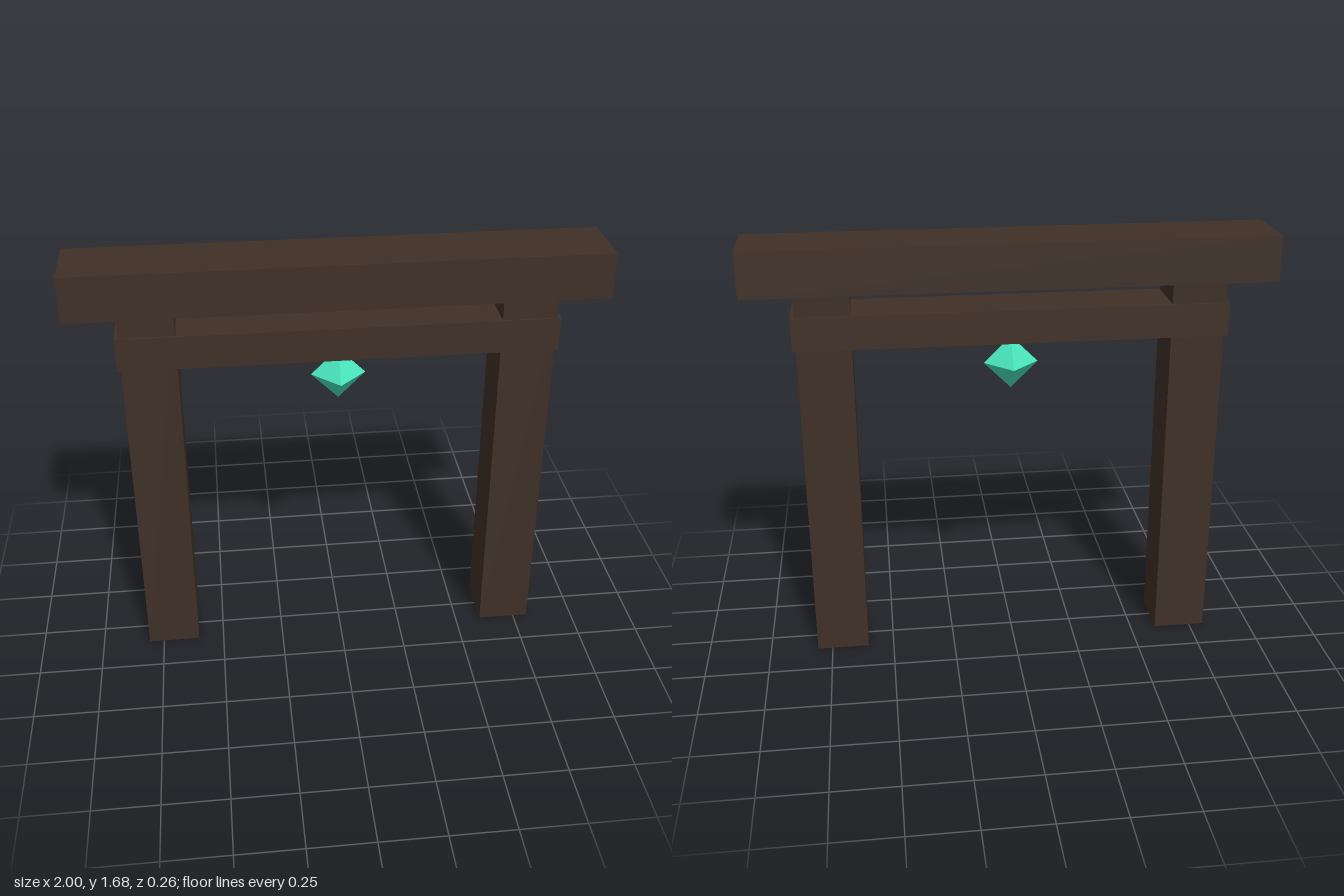
import * as THREE from 'three';

export function createModel() {
  const gate = new THREE.Group();
  gate.name = 'gate';
  const wood = new THREE.MeshStandardMaterial({ color: 0x3f3027, flatShading: true });
  const crystal = new THREE.MeshStandardMaterial({ color: 0x48e5bd, flatShading: true });

  const add = (name, geometry, material, x, y) => {
    const mesh = new THREE.Mesh(geometry, material);
    mesh.name = name;
    mesh.position.set(x, y, 0);
    gate.add(mesh);
  };
  const box = (name, w, h, d, x, y) => add(name, new THREE.BoxGeometry(w, h, d), wood, x, y);

  // Square posts, left is +x
  for (const side of [1, -1]) {
    box(side > 0 ? 'leftPost' : 'rightPost', 0.206, 1.5, 0.206, side * 0.706, 0.75);
  }

  // Heavy top beam and the thinner tie beam wrapping the posts
  box('topBeam', 2, 0.176, 0.265, 0, 1.588);
  box('tieBeam', 1.647, 0.13, 0.223, 0, 1.353);

  // Crystal hanging in the opening
  add('crystal', new THREE.OctahedronGeometry(0.105), crystal, 0, 1.178);

  return gate;
}
